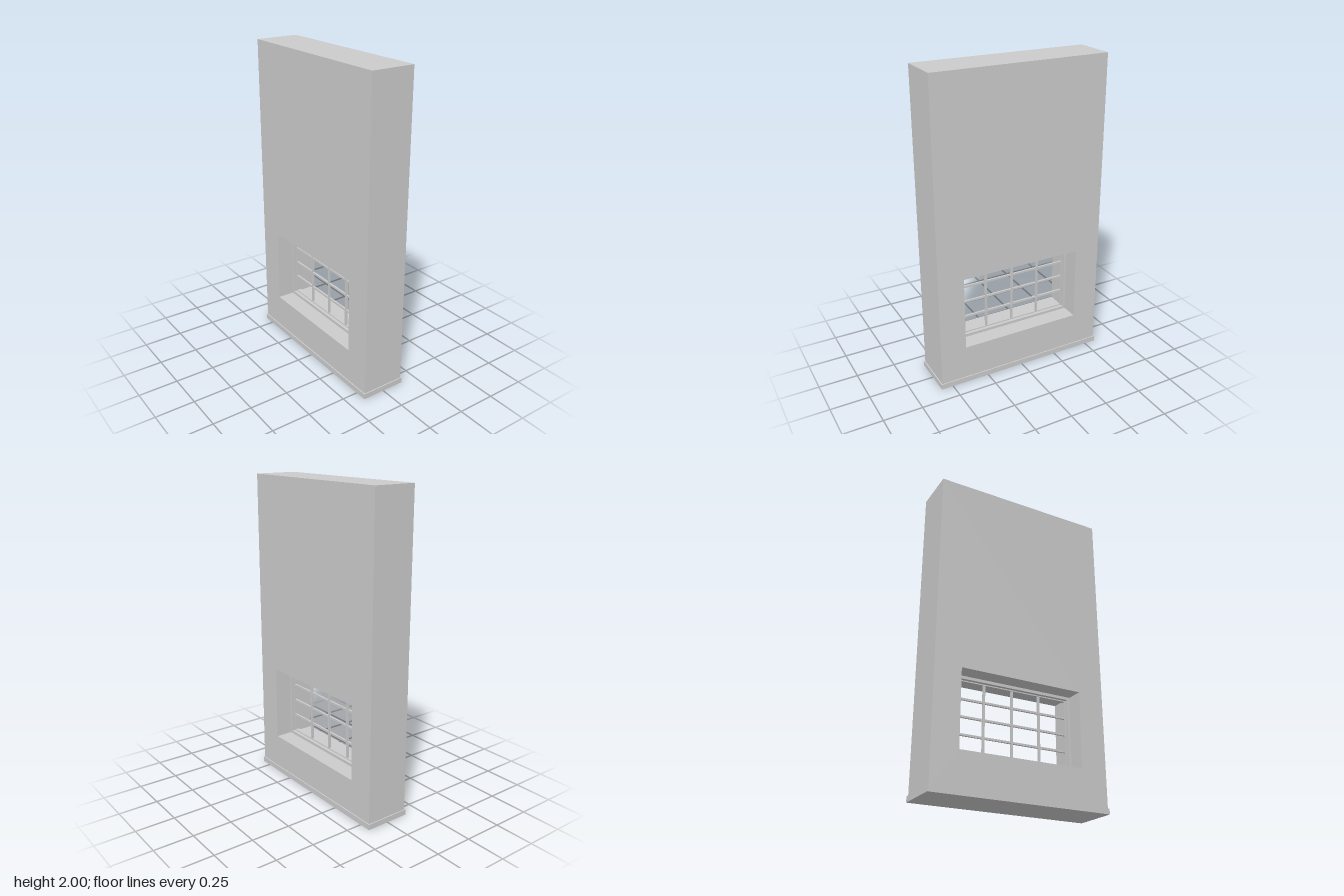
import * as THREE from 'three';

const material = new THREE.MeshStandardMaterial({ color: 0xcccccc });
const OPEN = { w: 0.8, y0: 0.253, y1: 0.735 };

// Rectangle path centred across the wall, between two heights
function rect(PathType, width, y0, y1) {
  const h = width / 2;
  return new PathType([[-h, y0], [h, y0], [h, y1], [-h, y1]].map(([x, y]) => new THREE.Vector2(x, y)));
}

// Slab with a rectangular hole, its thickness centred along x
function holedSlab(name, outer, hole, thickness) {
  const shape = rect(THREE.Shape, ...outer);
  shape.holes.push(rect(THREE.Path, ...hole));
  const geometry = new THREE.ExtrudeGeometry(shape, { depth: thickness, bevelEnabled: false });
  geometry.translate(0, 0, -thickness / 2).rotateY(Math.PI / 2);
  const mesh = new THREE.Mesh(geometry, material);
  mesh.name = name;
  return mesh;
}

function box(name, size, position) {
  const mesh = new THREE.Mesh(new THREE.BoxGeometry(...size), material);
  mesh.name = name;
  mesh.position.set(...position);
  return mesh;
}

export function createModel() {
  const model = new THREE.Group();
  model.name = 'wallWithWindow';

  // Wall and base trim
  model.add(holedSlab('wall', [1.14, 0, 2], [OPEN.w, OPEN.y0, OPEN.y1], 0.28));
  model.add(box('baseTrim', [0.294, 0.035, 1.154], [0, 0.0175, 0]));

  // Window: outer frame, thinner sash, glazing bars
  const win = new THREE.Group();
  win.name = 'window';
  const f = 0.018, s = 0.025;
  const inner = [OPEN.w - 2 * f, OPEN.y0 + f, OPEN.y1 - f];
  const pane = [OPEN.w - 2 * s, OPEN.y0 + s, OPEN.y1 - s];
  win.add(holedSlab('windowFrame', [OPEN.w, OPEN.y0, OPEN.y1], inner, 0.06));
  win.add(holedSlab('sash', inner, pane, 0.016));

  const [w, y0, y1] = pane;
  const h = y1 - y0, midY = (y0 + y1) / 2;
  for (let i = -1; i <= 1; i++) {
    win.add(box('verticalBar', [0.014, h, 0.013], [0, midY, (i * w) / 4]));
    win.add(box('horizontalBar', [0.012, 0.013, w], [0, midY + (i * h) / 4, 0]));
  }
  model.add(win);
  return model;
}
